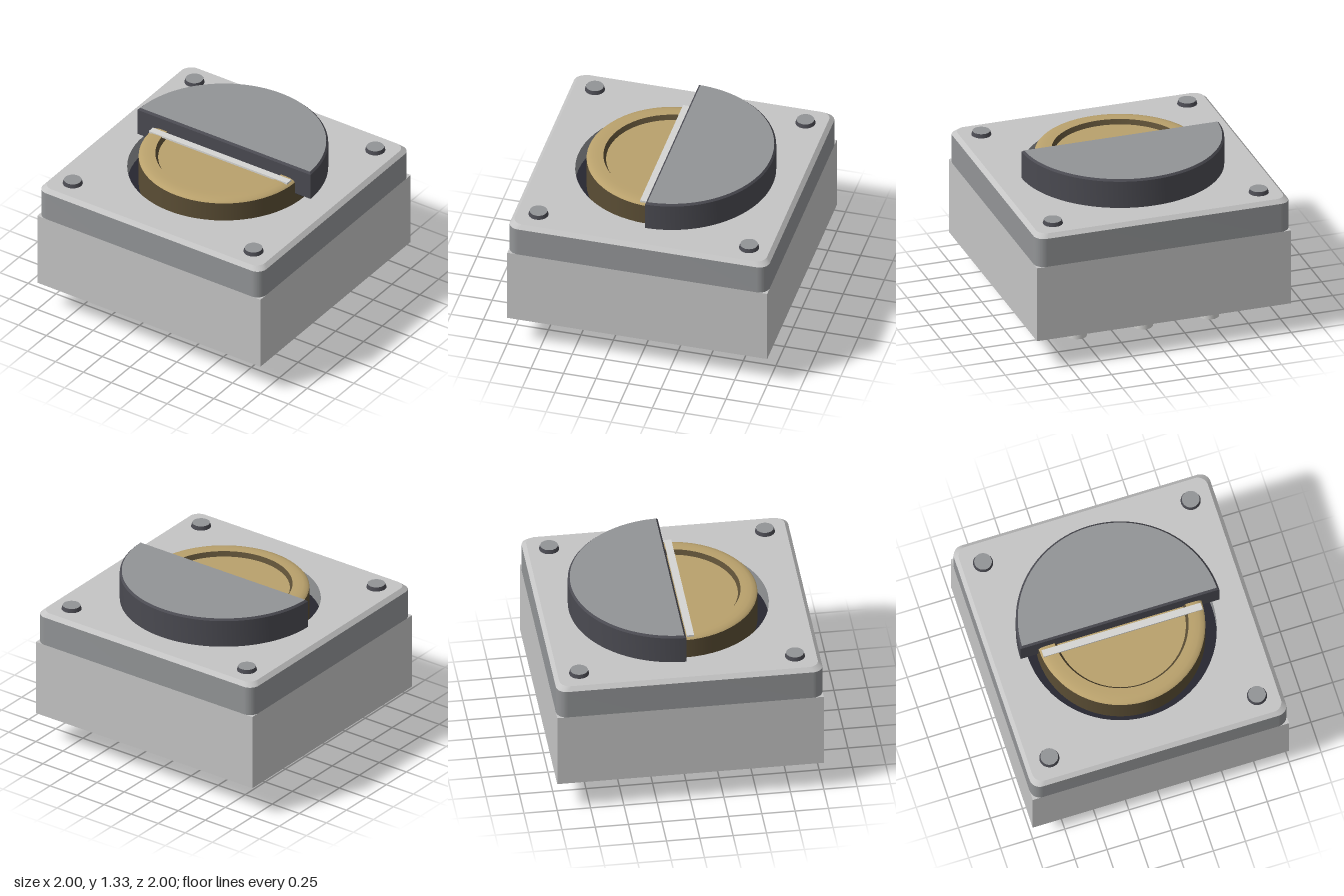
import * as THREE from 'three';
import { toCreasedNormals } from 'three/addons/utils/BufferGeometryUtils.js';

const mat = (name, color, side = THREE.FrontSide) => {
  const m = new THREE.MeshStandardMaterial({ color, side });
  m.name = name;
  return m;
};

export function createModel() {
  const lightGrey = mat('light grey', 0xc4c4c4);
  const midGrey = mat('mid grey', 0x929496);
  const darkGrey = mat('dark grey', 0x4a4a51);
  const wellBlack = mat('well black', 0x262630);
  const brass = mat('brass', 0xb9a16c);
  const darkBrass = mat('dark brass', 0x5a4d34);
  const pale = mat('pale metal', 0xd4d4d2);

  const model = new THREE.Group();
  model.name = 'panelSwitch';
  const add = (name, geometry, material, x = 0, y = 0, z = 0) => {
    const mesh = new THREE.Mesh(geometry, material);
    mesh.name = name;
    mesh.position.set(x, y, z);
    model.add(mesh);
    return mesh;
  };
  const lathe = (points) =>
    new THREE.LatheGeometry(points.map(([r, y]) => new THREE.Vector2(r, y)), 64);

  // Square housing
  add('housing', new THREE.BoxGeometry(2, 0.6, 2), lightGrey, 0, 0.54, 0);

  // Contact pins underneath, three by three
  const pin = new THREE.CylinderGeometry(0.075, 0.075, 0.25, 32);
  for (const x of [-0.52, 0, 0.52])
    for (const z of [-0.52, 0, 0.52]) add('pin', pin, pale, x, 0.125, z);

  // Cover plate with rounded corners, a chamfered top edge and a round opening
  add('coverPlate', coverGeometry(), [lightGrey, midGrey]);

  // Floor of the opening
  add('wellFloor', new THREE.CylinderGeometry(0.725, 0.725, 0.1, 64), wellBlack, 0, 0.9, 0);

  // Brass dial: side, rounded rim, recess wall and sunken face
  add('dialSide', lathe([[0.635, 0.94], [0.635, 1.195]]), darkBrass);
  add('dialRim', lathe([[0.635, 1.195], [0.622, 1.209], [0.59, 1.218], [0.55, 1.22], [0.51, 1.22]]), brass);
  add('dialRecessWall', lathe([[0.51, 1.22], [0.49, 1.185]]), darkBrass);
  add('dialFace', lathe([[0.49, 1.185], [0, 1.185]]), brass);

  // Thin bar across the dial
  add('dialBar', new THREE.BoxGeometry(1.24, 0.015, 0.055), pale, 0, 1.2205, 0.053);

  // Half-round lid over the back of the dial
  const half = new THREE.Shape();
  half.absarc(0, 0, 0.775, 0, Math.PI);
  half.closePath();
  const lid = new THREE.ExtrudeGeometry(half, {
    depth: 0.215, bevelThickness: 0.015, bevelSize: 0.015, bevelOffset: -0.015,
    bevelSegments: 1, curveSegments: 48,
  });
  lid.rotateX(-Math.PI / 2);
  add('halfLid', toCreasedNormals(lid, 0.4), [midGrey, darkGrey], 0, 1.1, 0);

  // Corner screws
  const screw = new THREE.CylinderGeometry(0.066, 0.075, 0.03, 32);
  for (const x of [-0.81, 0.81])
    for (const z of [-0.81, 0.81]) add('screw', screw, [darkGrey, midGrey, midGrey], x, 1.115, z);

  return model;
}

function coverGeometry() {
  const r = 0.08, e = 1 - r;
  const shape = new THREE.Shape();
  [[e, e], [-e, e], [-e, -e], [e, -e]].forEach(([x, y], i) =>
    shape.absarc(x, y, r, i * Math.PI / 2, (i + 1) * Math.PI / 2));
  const hole = new THREE.Path();
  hole.absarc(0, 0, 0.72, 0, Math.PI * 2, true);
  shape.holes.push(hole);
  const geo = new THREE.ExtrudeGeometry(shape, {
    depth: 0.26, steps: 2, bevelEnabled: false, curveSegments: 32,
  });
  geo.rotateX(-Math.PI / 2);

  // Raise the middle ring and draw in the top outline to form the chamfer
  const p = geo.attributes.position;
  for (let i = 0; i < p.count; i++) {
    const x = p.getX(i), y = p.getY(i), z = p.getZ(i);
    const s = y > 0.2 && Math.hypot(x, z) > 0.8 ? 0.97 : 1;
    const level = y < 0.05 ? 0.84 : y < 0.2 ? 1.07 : 1.1;
    p.setXYZ(i, x * s, level, z * s);
  }
  geo.computeVertexNormals();

  // Upward faces take the first colour, walls the second
  const n = geo.attributes.normal;
  geo.clearGroups();
  for (let i = 0; i < p.count; i += 3) {
    const index = n.getY(i) > 0.3 ? 0 : 1;
    const last = geo.groups[geo.groups.length - 1];
    if (last && last.materialIndex === index) last.count += 3;
    else geo.addGroup(i, 3, index);
  }
  return toCreasedNormals(geo, 0.4);
}
